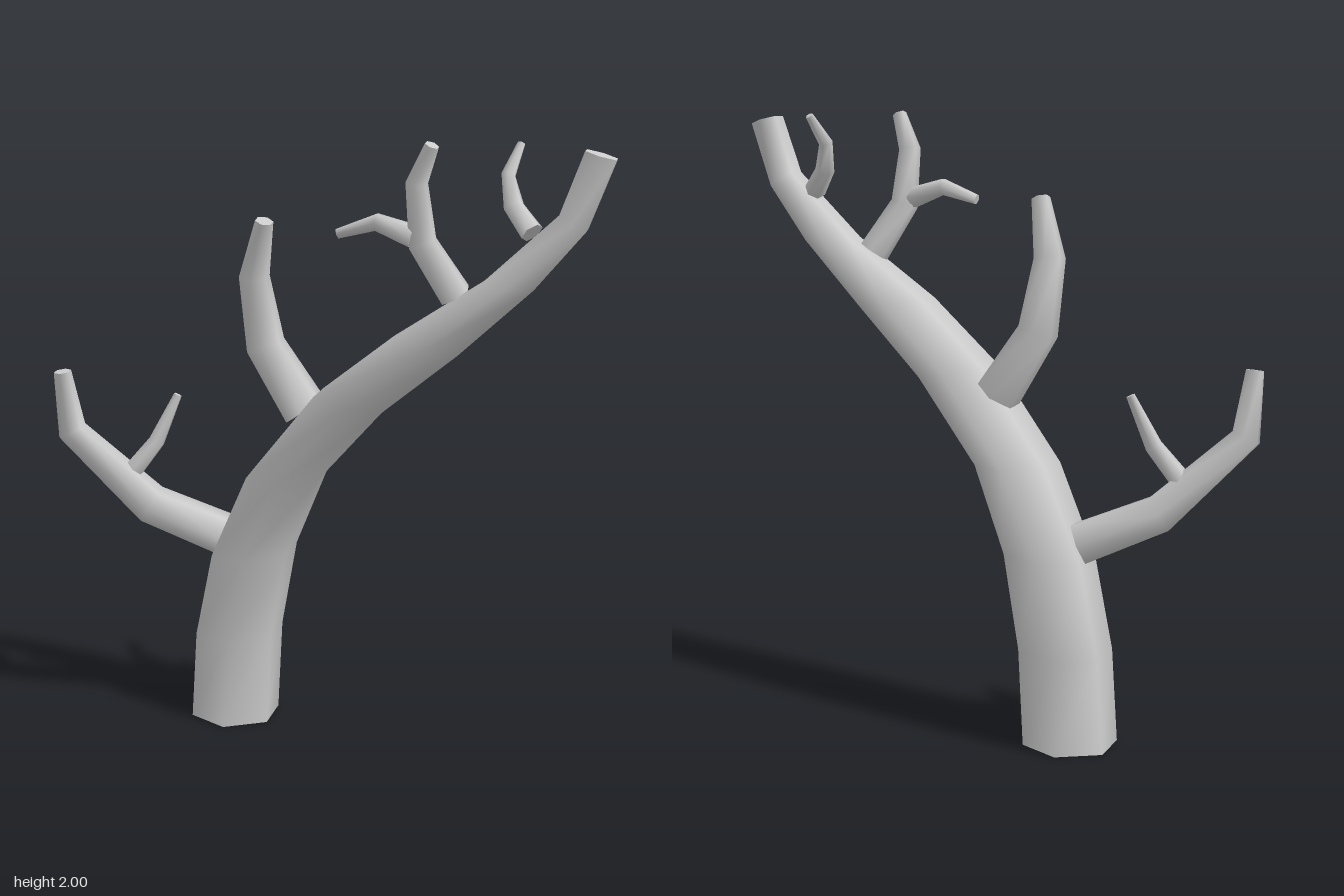
import * as THREE from 'three';

const SIDES = 6;
const material = new THREE.MeshStandardMaterial({ color: 0xcccccc });
const V = (x, y, z) => new THREE.Vector3(x, y, z);

// Skins a row of rings { c, u, v } (centre and two half axes) and closes both ends
function skin(name, rings) {
  const pos = [], index = [];
  const addRing = ({ c, u, v }) => {
    const first = pos.length / 3;
    for (let j = 0; j < SIDES; j++) {
      const a = (j / SIDES) * Math.PI * 2 + Math.PI / 2;
      const p = c.clone().addScaledVector(u, Math.cos(a)).addScaledVector(v, Math.sin(a));
      pos.push(p.x, p.y, p.z);
    }
    return first;
  };
  // smooth sides share their vertices
  const starts = rings.map(addRing);
  for (let i = 0; i + 1 < starts.length; i++) {
    for (let j = 0; j < SIDES; j++) {
      const k = (j + 1) % SIDES;
      const a = starts[i] + j, b = starts[i] + k;
      const d = starts[i + 1] + j, e = starts[i + 1] + k;
      index.push(a, d, b, b, d, e);
    }
  }
  // flat caps get their own vertices
  const bottom = addRing(rings[0]);
  const top = addRing(rings[rings.length - 1]);
  for (let j = 1; j + 1 < SIDES; j++) {
    index.push(bottom, bottom + j, bottom + j + 1, top, top + j + 1, top + j);
  }
  const geometry = new THREE.BufferGeometry();
  geometry.setAttribute('position', new THREE.Float32BufferAttribute(pos, 3));
  geometry.setIndex(index);
  geometry.computeVertexNormals();
  const mesh = new THREE.Mesh(geometry, material);
  mesh.name = name;
  return mesh;
}

// Branch from knots [x, y, z, radius], each ring square to the path
function branch(name, knots) {
  const pts = knots.map(([x, y, z]) => V(x, y, z));
  return skin(name, pts.map((c, i) => {
    const dir = V(0, 0, 0);
    if (i > 0) dir.add(c.clone().sub(pts[i - 1]).normalize());
    if (i + 1 < pts.length) dir.add(pts[i + 1].clone().sub(c).normalize());
    dir.normalize();
    const u = dir.clone().cross(V(0, 0, 1)).normalize();
    const v = u.clone().cross(dir);
    const r = knots[i][3];
    return { c, u: u.multiplyScalar(r), v: v.multiplyScalar(r) };
  }));
}

// Trunk from slices [x1, y1, x2, y2, z, half depth]: its two edges seen from the front
function trunk(name, slices) {
  const flat = Math.cos(Math.PI / 6);
  return skin(name, slices.map(([x1, y1, x2, y2, z, depth]) => ({
    c: V((x1 + x2) / 2, (y1 + y2) / 2, z),
    u: V((x2 - x1) / 2 / flat, (y2 - y1) / 2 / flat, 0),
    v: V(0, 0, depth),
  })));
}

export function createModel() {
  const group = new THREE.Group();
  group.name = 'bareBranch';

  group.add(trunk('trunk', [
    [-0.485, 0, -0.22, 0, -0.11, 0.153],
    [-0.465, 0.3, -0.203, 0.31, -0.108, 0.153],
    [-0.4, 0.59, -0.145, 0.61, -0.088, 0.152],
    [-0.265, 0.88, -0.03, 0.88, -0.046, 0.152],
    [-0.02, 1.18, 0.2, 1.14, 0.032, 0.137],
    [0.23, 1.38, 0.45, 1.35, 0.115, 0.117],
    [0.52, 1.575, 0.68, 1.565, 0.163, 0.093],
    [0.75, 1.79, 0.83, 1.745, 0.194, 0.073],
    [0.82, 1.98, 0.91, 1.955, 0.207, 0.058],
  ]));

  // low side branch and its twig
  group.add(branch('lowerBranch', [
    [-0.37, 0.645, -0.083, 0.073], [-0.615, 0.75, -0.033, 0.068],
    [-0.873, 1.0, 0.01, 0.049], [-0.89, 1.205, 0.035, 0.029],
  ]));
  group.add(branch('lowerTwig', [
    [-0.675, 0.865, -0.03, 0.034], [-0.597, 0.965, -0.05, 0.028], [-0.528, 1.122, -0.075, 0.014],
  ]));

  // middle branch
  group.add(branch('middleBranch', [
    [-0.08, 1.1, -0.04, 0.076], [-0.22, 1.307, -0.06, 0.066],
    [-0.25, 1.535, -0.04, 0.051], [-0.2, 1.72, 0.015, 0.03],
  ]));

  // upper branch and its twig
  group.add(branch('upperBranch', [
    [0.435, 1.53, 0.14, 0.052], [0.338, 1.69, 0.175, 0.046],
    [0.318, 1.87, 0.175, 0.036], [0.368, 1.985, 0.205, 0.023],
  ]));
  group.add(branch('upperTwig', [
    [0.31, 1.71, 0.175, 0.038], [0.193, 1.747, 0.16, 0.029], [0.07, 1.707, 0.15, 0.017],
  ]));

  // small branch near the tip
  group.add(branch('tipBranch', [
    [0.665, 1.73, 0.165, 0.036], [0.602, 1.8, 0.115, 0.032],
    [0.578, 1.89, 0.075, 0.023], [0.606, 1.978, 0.012, 0.013],
  ]));

  return group;
}
